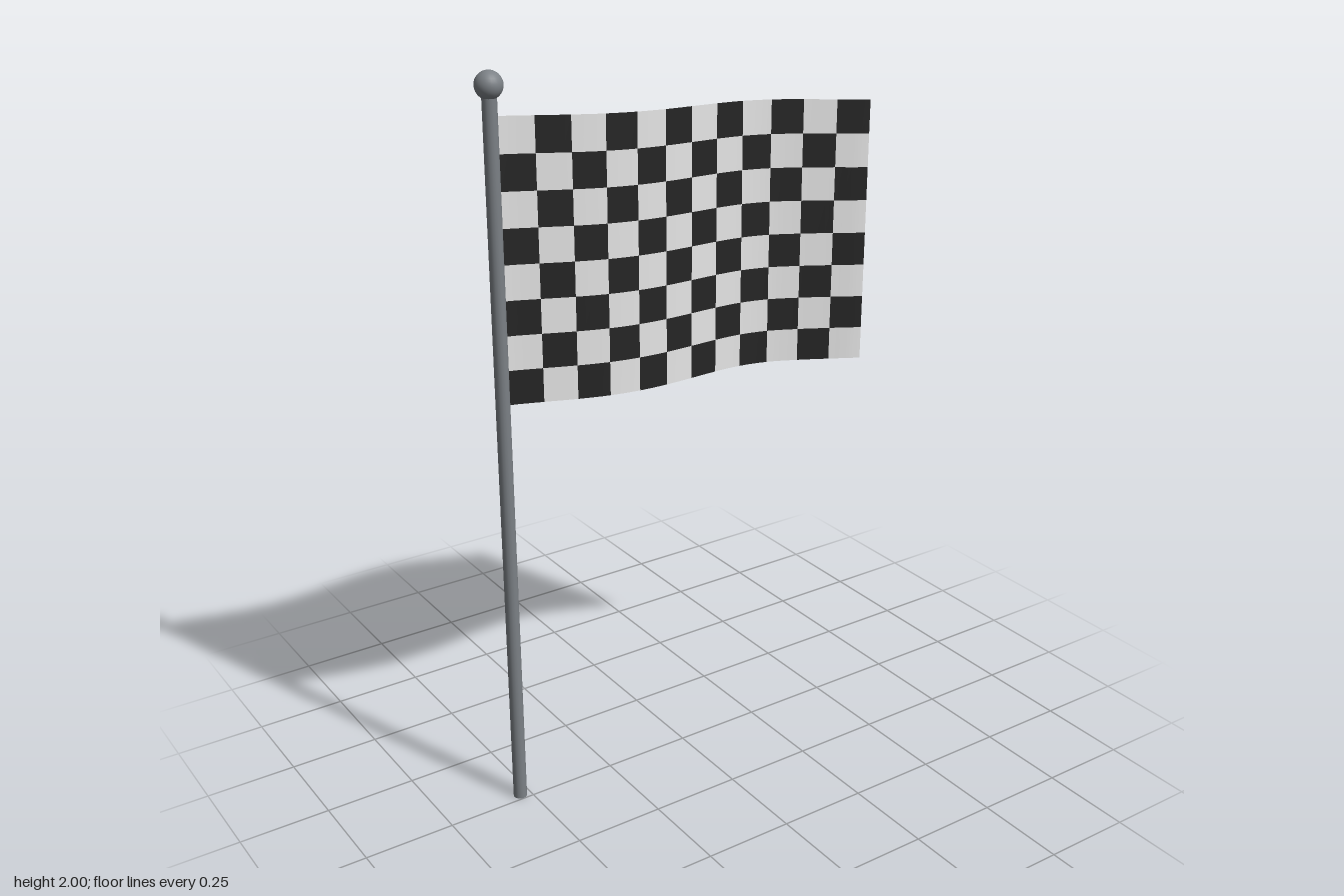
import * as THREE from 'three';

const POLE_X = -0.53, POLE_Z = -0.02;
const COLS = 12, ROWS = 8, SEG = 4; // SEG = strips per check

export function createModel() {
  const metal = new THREE.MeshStandardMaterial({ color: 0x7c8186 });
  metal.name = 'greyMetal';
  const white = new THREE.MeshStandardMaterial({ color: 0xe6e6e6, side: THREE.DoubleSide });
  white.name = 'whiteCloth';
  const black = new THREE.MeshStandardMaterial({ color: 0x252525, side: THREE.DoubleSide });
  black.name = 'blackCloth';

  const group = new THREE.Group();
  group.name = 'checkeredFlag';
  const add = (name, geometry, material, x, y, z) => {
    const mesh = new THREE.Mesh(geometry, material);
    mesh.name = name;
    mesh.position.set(x, y, z);
    group.add(mesh);
  };

  // Pole and ball finial
  add('pole', new THREE.CylinderGeometry(0.0185, 0.0185, 1.95, 16), metal, POLE_X, 0.975, POLE_Z);
  add('finial', new THREE.SphereGeometry(0.035, 24, 16), metal, POLE_X, 1.965, POLE_Z);

  // Wave of the cloth, seen from above: (distance along the flag, z)
  const wave = new THREE.SplineCurve([
    [0, -0.02], [0.083, -0.004], [0.167, 0.014], [0.25, 0.026], [0.333, 0.027],
    [0.417, 0.018], [0.5, 0.002], [0.583, -0.015], [0.667, -0.026],
    [0.75, -0.022], [0.833, 0], [0.917, 0.029], [1, 0.058],
  ].map(([u, z]) => new THREE.Vector2(u, z)));

  // Cloth: a sheet that sags towards its free end and ripples in z
  const cloth = new THREE.PlaneGeometry(1, 1, COLS * SEG, ROWS);
  const pos = cloth.attributes.position;
  for (let i = 0; i < pos.count; i++) {
    const u = pos.getX(i) + 0.5, v = pos.getY(i) + 0.5;
    pos.setXYZ(i, -0.51 + 1.075 * u, 1.16 - 0.07 * u + 0.73 * v, wave.getPoint(u).y);
  }
  cloth.computeVertexNormals();

  // Checks: alternate the two materials cell by cell
  const indicesPerCell = SEG * 6;
  for (let row = 0; row < ROWS; row++) {
    for (let col = 0; col < COLS; col++) {
      cloth.addGroup((row * COLS + col) * indicesPerCell, indicesPerCell, (row + col) % 2);
    }
  }
  add('flagCloth', cloth, [white, black], 0, 0, 0);

  return group;
}
